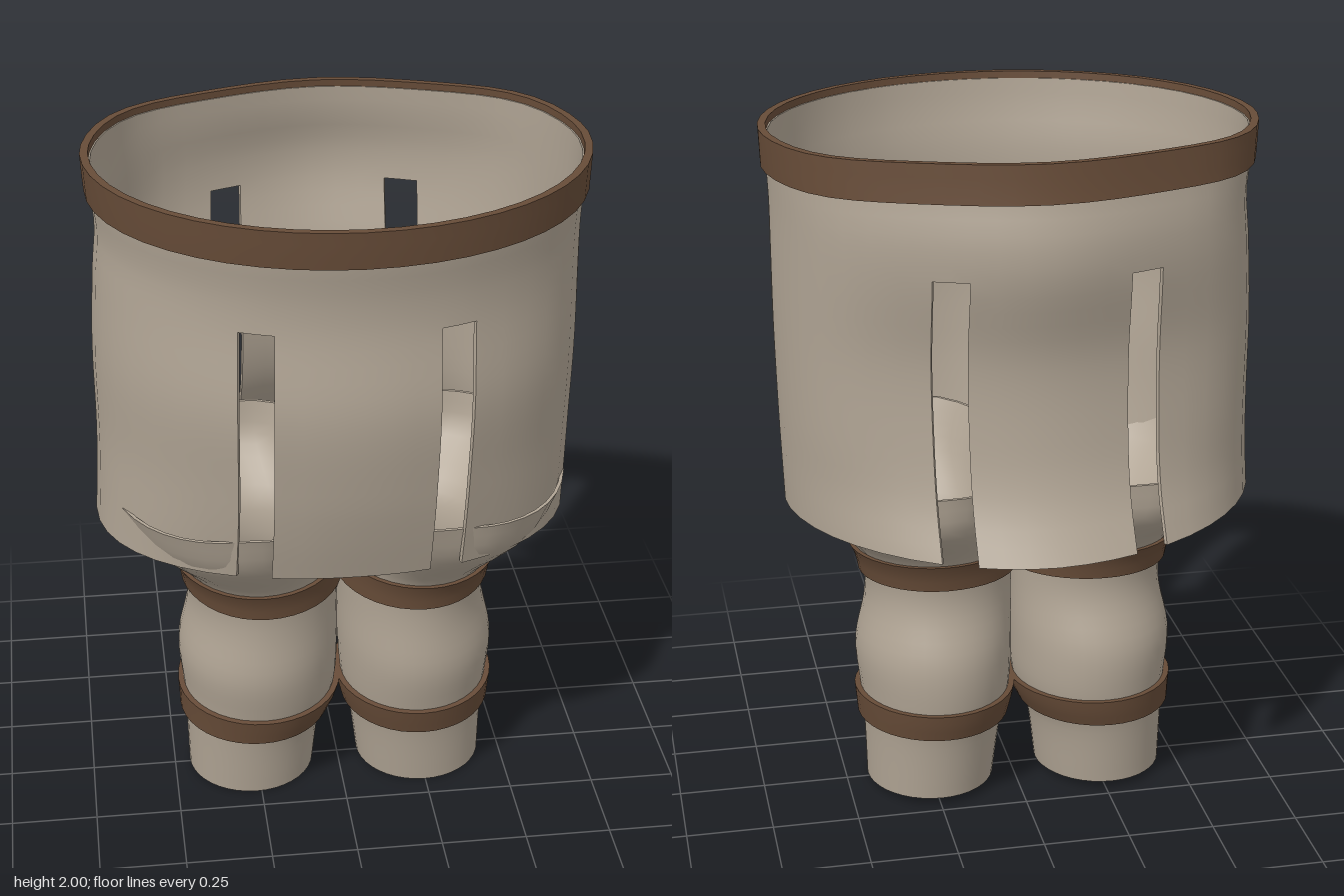
import * as THREE from 'three';
import { toCreasedNormals } from 'three/addons/utils/BufferGeometryUtils.js';

const cloth = new THREE.MeshStandardMaterial({ color: 0xb0a494 });
cloth.name = 'greige cloth';
const leather = new THREE.MeshStandardMaterial({ color: 0x674c38 });
leather.name = 'brown trim';

// Rows: [y, centre x, reach to -x, reach to +x, reach to front, reach to back,
//        front exponent, back exponent, bulge of the back corners, pinch toward the centre line]
const TUNIC = [
  [2.0, 0, 0.678, 0.678, 0.61, 0.513, 2, 1.95, 0.1, 0],
  [1.9, 0, 0.672, 0.674, 0.598, 0.525, 2, 1.95, 0.1, 0],
  [1.8, 0, 0.662, 0.67, 0.578, 0.552, 2, 1.92, 0.1, 0],
  [1.69, 0, 0.672, 0.67, 0.572, 0.552, 2, 1.9, 0.1, 0],
  [1.45, 0, 0.685, 0.67, 0.593, 0.497, 2, 2, 0.1, 0],
  [1.2, 0, 0.685, 0.665, 0.558, 0.51, 2, 2, 0.07, 0],
  [1.05, 0, 0.69, 0.66, 0.52, 0.55, 2.1, 1.92, 0.03, 0],
  [0.92, 0, 0.698, 0.655, 0.48, 0.628, 2.2, 1.83, 0, 0],
];
const LEG = [
  [1.04, 0.32, 0.41, 0.33, 0.46, 0.39, 2.2, 1.95, 0, 0.28],
  [0.92, 0.295, 0.315, 0.305, 0.42, 0.375, 2.1, 2, 0, 0.1],
  [0.77, 0.235, 0.236, 0.227, 0.285, 0.255, 2, 2, 0, 0],
  [0.68, 0.225, 0.225, 0.209, 0.26, 0.228, 2, 2, 0, 0],
  [0.6, 0.225, 0.223, 0.207, 0.257, 0.232, 2, 2, 0, 0],
  [0.45, 0.23, 0.228, 0.232, 0.265, 0.278, 2, 2, 0, 0],
  [0.3, 0.23, 0.218, 0.22, 0.235, 0.275, 2, 2, 0, 0],
  [0.2, 0.235, 0.2, 0.207, 0.21, 0.25, 2, 2, 0, 0],
  [0.011, 0.247, 0.187, 0.19, 0.18, 0.222, 2, 2, 0, 0],
];

// Smooth interpolation of the rows at height y
function rowAt(rows, y) {
  let i = 0;
  while (i < rows.length - 2 && y < rows[i + 1][0]) i++;
  const a = rows[i], b = rows[i + 1];
  const p = rows[Math.max(i - 1, 0)], q = rows[Math.min(i + 2, rows.length - 1)];
  const h = b[0] - a[0], s = (y - a[0]) / h, s2 = s * s, s3 = s2 * s;
  return a.map((_, k) => {
    const ma = (b[k] - p[k]) / (b[0] - p[0]) * h, mb = (q[k] - a[k]) / (q[0] - a[0]) * h;
    return (2 * s3 - 3 * s2 + 1) * a[k] + (s3 - 2 * s2 + s) * ma
      + (3 * s2 - 2 * s3) * b[k] + (s3 - s2) * mb;
  });
}

// Point on a cross-section at angle t (0 = front, PI/2 = +x), pushed outward by off
function pointOn(rows, y, t, off, tilt) {
  const [, cx, xl, xr, zf, zb, nf, nb, bulge, pinch] = rowAt(rows, y);
  const s = Math.sin(t), front = Math.cos(t) >= 0, n = front ? nf : nb;
  const x = cx + s * ((s < 0 ? xl : xr) + off);
  const corner = Math.sin(2 * t) ** 2 * (0.35 - Math.cos(2 * t));
  const k = Math.pow(Math.max(0, 1 - Math.pow(Math.abs(s), n)), 1 / n)
    + corner * ((front ? 0 : bulge) - (s * cx < 0 ? pinch : 0));
  const z = front ? k * (zf + off) : -k * (zb + off);
  const lean = tilt * THREE.MathUtils.clamp((0.95 - y) / 0.2, 0, 1);
  return [x, y - lean * z, z];
}

// Closed-walled sheet around the rows; cells for which isHole is true are left open
function shell(rows, ts, ys, outer, inner, tilt = 0, isHole = () => false) {
  const nu = ts.length, nv = ys.length, pos = [], idx = [];
  for (const off of [outer, inner])
    for (const y of ys) for (const t of ts) pos.push(...pointOn(rows, y, t, off, tilt));
  const id = (u, v) => v * nu + (u + nu) % nu, shift = nu * nv;
  const open = (u, v) => v < 0 || v >= nv - 1 || isHole((u + nu) % nu, v);
  const quad = (a, b, c, d) => idx.push(a, b, c, a, c, d);
  const wall = (p, q) => quad(q, p, p + shift, q + shift);
  for (let v = 0; v < nv - 1; v++) for (let u = 0; u < nu; u++) {
    if (open(u, v)) continue;
    const a = id(u, v), b = id(u + 1, v), c = id(u + 1, v + 1), d = id(u, v + 1);
    quad(a, d, c, b);
    quad(a + shift, b + shift, c + shift, d + shift);
    if (open(u - 1, v)) wall(a, d);
    if (open(u, v + 1)) wall(d, c);
    if (open(u + 1, v)) wall(c, b);
    if (open(u, v - 1)) wall(b, a);
  }
  const g = new THREE.BufferGeometry();
  g.setAttribute('position', new THREE.Float32BufferAttribute(pos, 3));
  g.setIndex(idx);
  return toCreasedNormals(g, 0.8);
}

const range = (a, b, n) => Array.from({ length: n + 1 }, (_, i) => a + (b - a) * i / n);
const around = n => range(0, Math.PI * 2, n).slice(0, n);

// The right leg mirrors the left and stands a little further out toward the foot
function mirrorRow([y, cx, xl, xr, ...rest]) {
  const out = y < 0.25 ? 0.018 : 0.007;
  return [y, -cx - out, xr + (y < 0.25 ? 0 : 0.007), xl + (y < 0.25 ? 0 : 0.007), ...rest];
}

export function createModel() {
  const model = new THREE.Group();
  const add = (parent, name, geometry, material) => {
    const m = new THREE.Mesh(geometry, material);
    m.name = name;
    parent.add(m);
  };

  // Tunic with two slits in front and two behind
  const r = Math.asin(0.205 / 0.664), R = Math.asin(0.298 / 0.664);
  const l = Math.asin(0.232 / 0.686), L = Math.asin(0.325 / 0.686), P = Math.PI;
  const stops = [[0, 3], [r, 2], [R, 16], [P - R, 2], [P - r, 6], [P + l, 2],
    [P + L, 16], [2 * P - L, 2], [2 * P - l, 3], [2 * P, 0]];
  const ts = [], slit = [];
  for (let i = 0; i < stops.length - 1; i++) {
    const [t, n] = stops[i];
    range(t, stops[i + 1][0], n).slice(0, n).forEach(v => {
      ts.push(v);
      slit.push([1, 3, 5, 7].includes(i));
    });
  }
  const ys = [...range(1.98, 1.69, 7), ...range(1.69, 0.92, 18).slice(1)];
  add(model, 'tunic', shell(TUNIC, ts, ys, 0, -0.012, 0, (u, v) => slit[u] && v >= 7), cloth);
  add(model, 'waistband', shell(TUNIC, around(48), range(2, 1.895, 3), 0.014, -0.008), leather);

  // Trouser legs, flared at the top, each with two bands
  for (const side of [1, -1]) {
    const rows = side > 0 ? LEG : LEG.map(mirrorRow);
    const leg = new THREE.Group();
    leg.name = side > 0 ? 'leftLeg' : 'rightLeg';
    add(leg, 'trouserLeg', shell(rows, around(40), range(1.04, 0.011, 30), 0, -0.01, 0.06), cloth);
    add(leg, 'kneeBand', shell(rows, around(40), range(0.77, 0.686, 3), 0.014, -0.004, 0.06), leather);
    add(leg, 'shinBand', shell(rows, around(40), range(0.308, 0.224, 3), 0.017, -0.004, 0.06), leather);
    model.add(leg);
  }
  return model;
}
